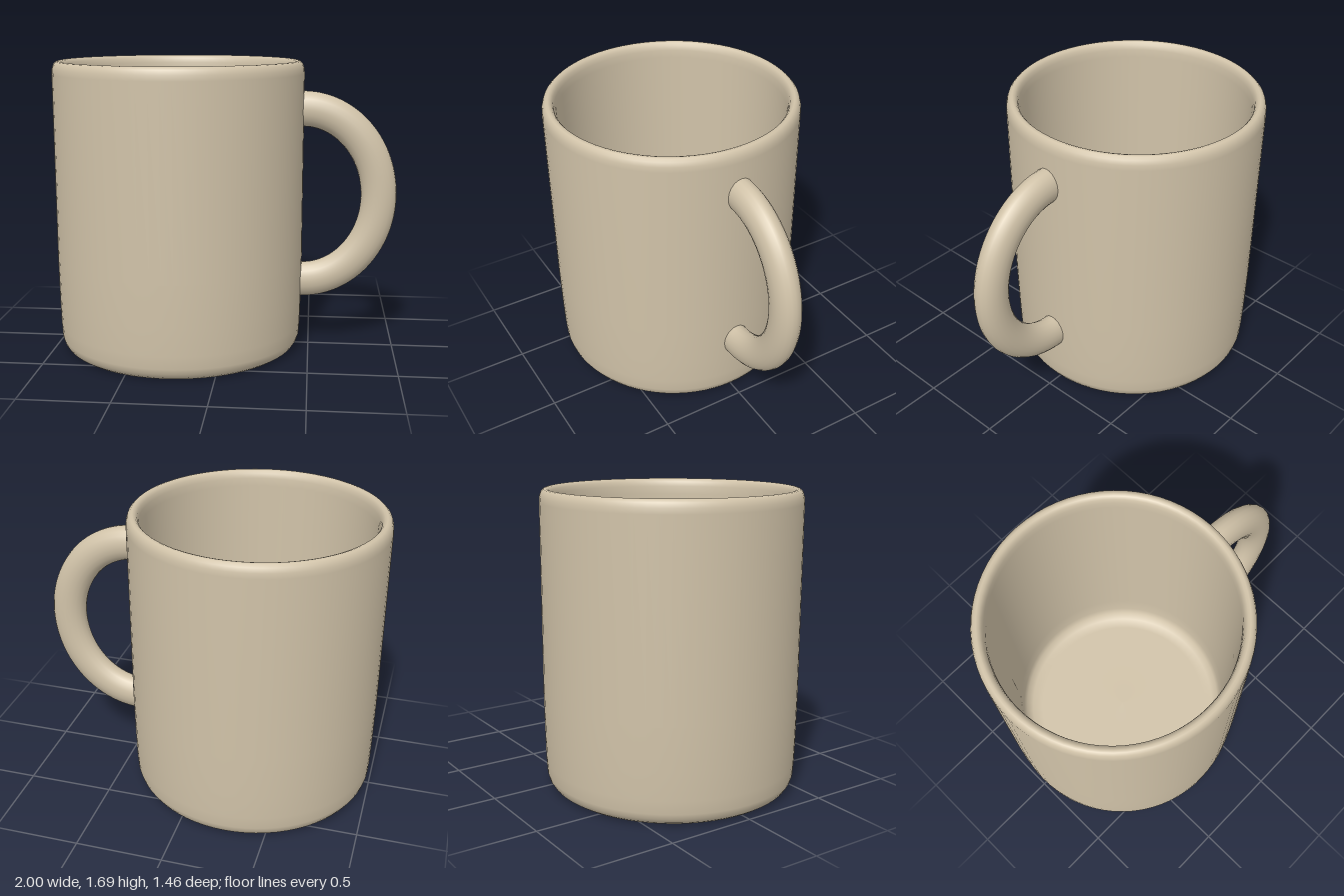
import * as THREE from 'three';

const CUP_X = -0.2725;

export function createModel() {
  const model = new THREE.Group();
  model.name = 'mug';
  const ceramic = new THREE.MeshStandardMaterial({ color: 0xd0c2a8 });
  ceramic.name = 'beige ceramic';

  // Cup: one closed profile from the recessed base, round the foot, up the wall and down inside
  const profile = [
    [0, 0.04], [0.565, 0.04], [0.575, 0.035], [0.59, 0.015], [0.615, 0.003], [0.64, 0], [0.665, 0.003],
    [0.69, 0.02], [0.706, 0.045], [0.715, 0.075], [0.72, 0.15], [0.724, 0.3], [0.7275, 0.55],
    [0.7275, 1.62], [0.725, 1.65], [0.717, 1.675], [0.703, 1.689], [0.69, 1.692],
    [0.676, 1.687], [0.664, 1.672], [0.658, 1.645], [0.655, 1.6],
    [0.645, 0.3], [0.64, 0.18], [0.625, 0.135], [0.59, 0.11], [0.53, 0.1], [0, 0.1],
  ].map(([r, y]) => new THREE.Vector2(r, y));
  const cup = new THREE.Mesh(new THREE.LatheGeometry(profile, 72), ceramic);
  cup.name = 'cup';
  cup.position.x = CUP_X;
  model.add(cup);

  // Handle: half an ellipse with short straight ends sunk into the wall
  const path = [new THREE.Vector3(0.415, 1.42, 0)];
  const steps = 24;
  for (let i = 0; i <= steps; i++) {
    const a = Math.PI / 2 - (Math.PI * i) / steps;
    path.push(new THREE.Vector3(0.45 + 0.446 * Math.cos(a), 0.91 + 0.508 * Math.sin(a), 0));
  }
  path.push(new THREE.Vector3(0.415, 0.40, 0));
  const tube = new THREE.TubeGeometry(new THREE.CatmullRomCurve3(path), 64, 0.103, 20);
  tube.scale(1, 1, 0.77); // flatter from side to side
  tube.computeVertexNormals();
  // Average the normals along the tube's lengthwise seam
  const n = tube.attributes.normal;
  for (let i = 0; i <= 64; i++) {
    const a = i * 21, b = a + 20;
    const v = new THREE.Vector3().fromBufferAttribute(n, a)
      .add(new THREE.Vector3().fromBufferAttribute(n, b)).normalize();
    n.setXYZ(a, v.x, v.y, v.z);
    n.setXYZ(b, v.x, v.y, v.z);
  }
  const handle = new THREE.Mesh(tube, ceramic);
  handle.name = 'handle';
  model.add(handle);

  return model;
}
